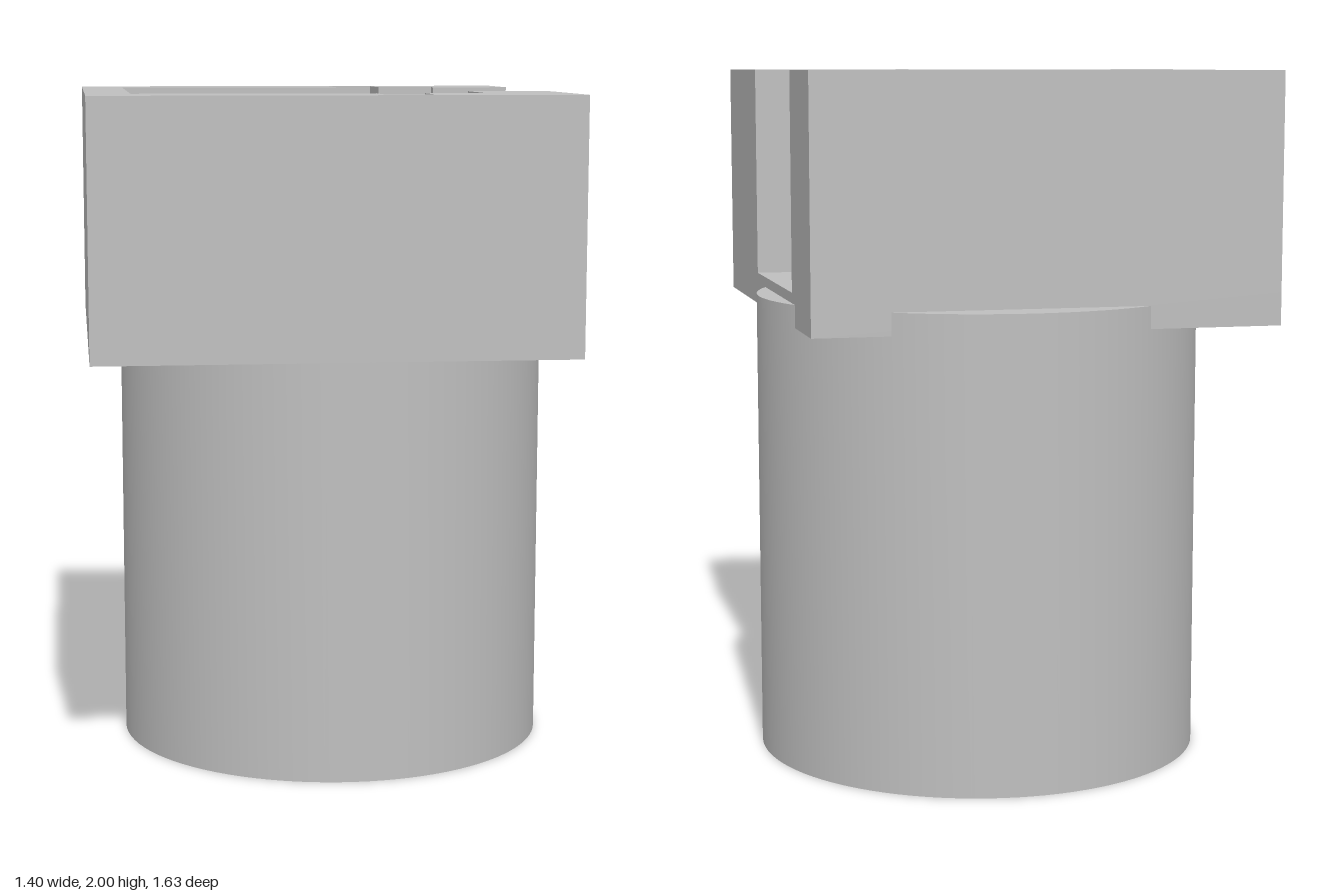
import * as THREE from 'three';
import { toCreasedNormals } from 'three/addons/utils/BufferGeometryUtils.js';

const grey = new THREE.MeshStandardMaterial({ color: 0xbfbfbf });
grey.name = 'plain grey';

const BOTTOM = 1.285, FLOOR = 1.38, TOP = 2;
const X0 = -0.705, X1 = 0.64, Z0 = -0.7, Z1 = 0.815;

function addMesh(group, name, geometry) {
  const mesh = new THREE.Mesh(geometry, grey);
  mesh.name = name;
  group.add(mesh);
  return mesh;
}

export function createModel() {
  const model = new THREE.Group();
  model.name = 'socketHolder';

  // Hollow round post, closed at the top and open underneath
  const profile = [
    [0, 1.28], [0.535, 1.28], [0.535, 0], [0.65, 0], [0.65, 1.35], [0, 1.35],
  ].map(([r, y]) => new THREE.Vector2(r, y));
  const post = addMesh(model, 'hollowPost',
    toCreasedNormals(new THREE.LatheGeometry(profile, 96), Math.PI / 6));
  post.position.set(0.05, 0, -0.165);

  // Floor plate of the square holder
  const plate = addMesh(model, 'holderFloor',
    new THREE.BoxGeometry(X1 - X0, FLOOR - BOTTOM, Z1 - Z0));
  plate.position.set((X0 + X1) / 2, (BOTTOM + FLOOR) / 2, (Z0 + Z1) / 2);

  // Walls: one C-shaped outline with an open side and two keyway notches
  const outline = [
    [X1, Z0], [X0, Z0], [X0, Z1], [X1, Z1],
    [X1, 0.26], [0.405, 0.26], [0.405, 0.545],
    [0.235, 0.545], [0.235, 0.75], [0.1, 0.75], [0.1, 0.545],
    [-0.58, 0.545], [-0.58, -0.43],
    [0.1, -0.43], [0.1, -0.64], [0.235, -0.64], [0.235, -0.43],
    [0.405, -0.43], [0.405, -0.39], [X1, -0.39],
  ].map(([x, z]) => new THREE.Vector2(x, -z));
  const walls = new THREE.ExtrudeGeometry(new THREE.Shape(outline),
    { depth: TOP - FLOOR, bevelEnabled: false });
  walls.rotateX(-Math.PI / 2);
  addMesh(model, 'holderWalls', walls).position.y = FLOOR;

  return model;
}
